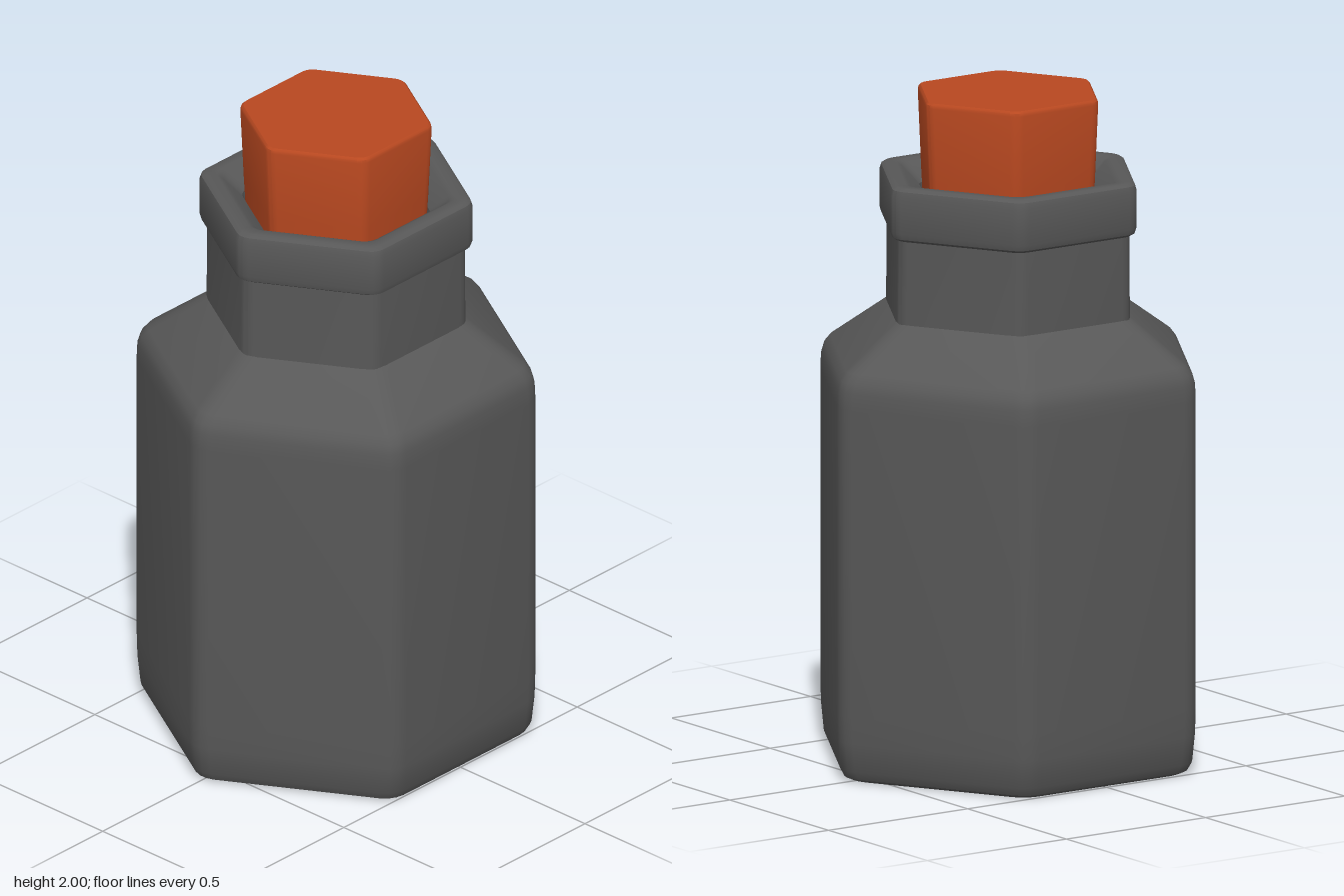
import * as THREE from 'three';
import { toCreasedNormals } from 'three/addons/utils/BufferGeometryUtils.js';

const ARC = 3; // segments per rounded corner

// One hexagonal ring with rounded corners, corners pointing along +-x.
function hexRing(apothem, y, radius) {
  const ring = [];
  const r = Math.min(radius, apothem);
  const d = (apothem - r) / Math.cos(Math.PI / 6);
  for (let k = 0; k < 6; k++) {
    const c = (k * Math.PI) / 3;
    for (let i = 0; i <= ARC; i++) {
      const a = c + (i / ARC - 0.5) * (Math.PI / 3);
      ring.push(new THREE.Vector3(
        d * Math.cos(c) + r * Math.cos(a), y, d * Math.sin(c) + r * Math.sin(a)));
    }
  }
  return ring;
}

// Skins a profile of [apothem, y] pairs, bottom to top, into a hexagonal solid.
function hexLathe(profile, radius) {
  const rings = profile.map(([apothem, y]) => hexRing(apothem, y, radius));
  const pos = [];
  const tri = (a, b, c) => {
    const area = b.clone().sub(a).cross(c.clone().sub(a)).length();
    if (area > 1e-9) for (const p of [a, b, c]) pos.push(p.x, p.y, p.z);
  };
  for (let j = 0; j < rings.length - 1; j++) {
    const lo = rings[j], hi = rings[j + 1], n = lo.length;
    for (let i = 0; i < n; i++) {
      const k = (i + 1) % n;
      tri(lo[i], hi[i], lo[k]);
      tri(lo[k], hi[i], hi[k]);
    }
  }
  const geo = new THREE.BufferGeometry();
  geo.setAttribute('position', new THREE.Float32BufferAttribute(pos, 3));
  return toCreasedNormals(geo, 0.6);
}

export function createModel() {
  const group = new THREE.Group();
  const glass = new THREE.MeshStandardMaterial({ color: 0x585858, side: THREE.DoubleSide });
  const cork = new THREE.MeshStandardMaterial({ color: 0xb84820 });
  const add = (name, profile, radius, material) => {
    const mesh = new THREE.Mesh(hexLathe(profile, radius), material);
    mesh.name = name;
    group.add(mesh);
  };

  // Body with softened base and shoulder
  add('body', [
    [0, 0], [0.485, 0], [0.505, 0.01], [0.518, 0.035], [0.526, 0.12], [0.528, 0.2],
    [0.528, 1.12], [0.526, 1.17], [0.518, 1.2], [0.5, 1.225], [0.345, 1.35],
  ], 0.075, glass);

  // Straight neck
  add('neck', [[0.343, 1.345], [0.341, 1.62]], 0.05, glass);

  // Thick lip with a funnel-shaped mouth
  add('lip', [
    [0.3, 1.6], [0.345, 1.6], [0.357, 1.608], [0.362, 1.625], [0.362, 1.735],
    [0.357, 1.752], [0.345, 1.76], [0.315, 1.76], [0.3, 1.752], [0.25, 1.7], [0.235, 1.6],
  ], 0.05, glass);

  // Tapered stopper
  add('stopper', [
    [0, 1.5], [0.232, 1.5], [0.245, 1.76], [0.254, 1.985], [0.252, 1.994], [0.246, 2], [0, 2],
  ], 0.04, cork);

  return group;
}
